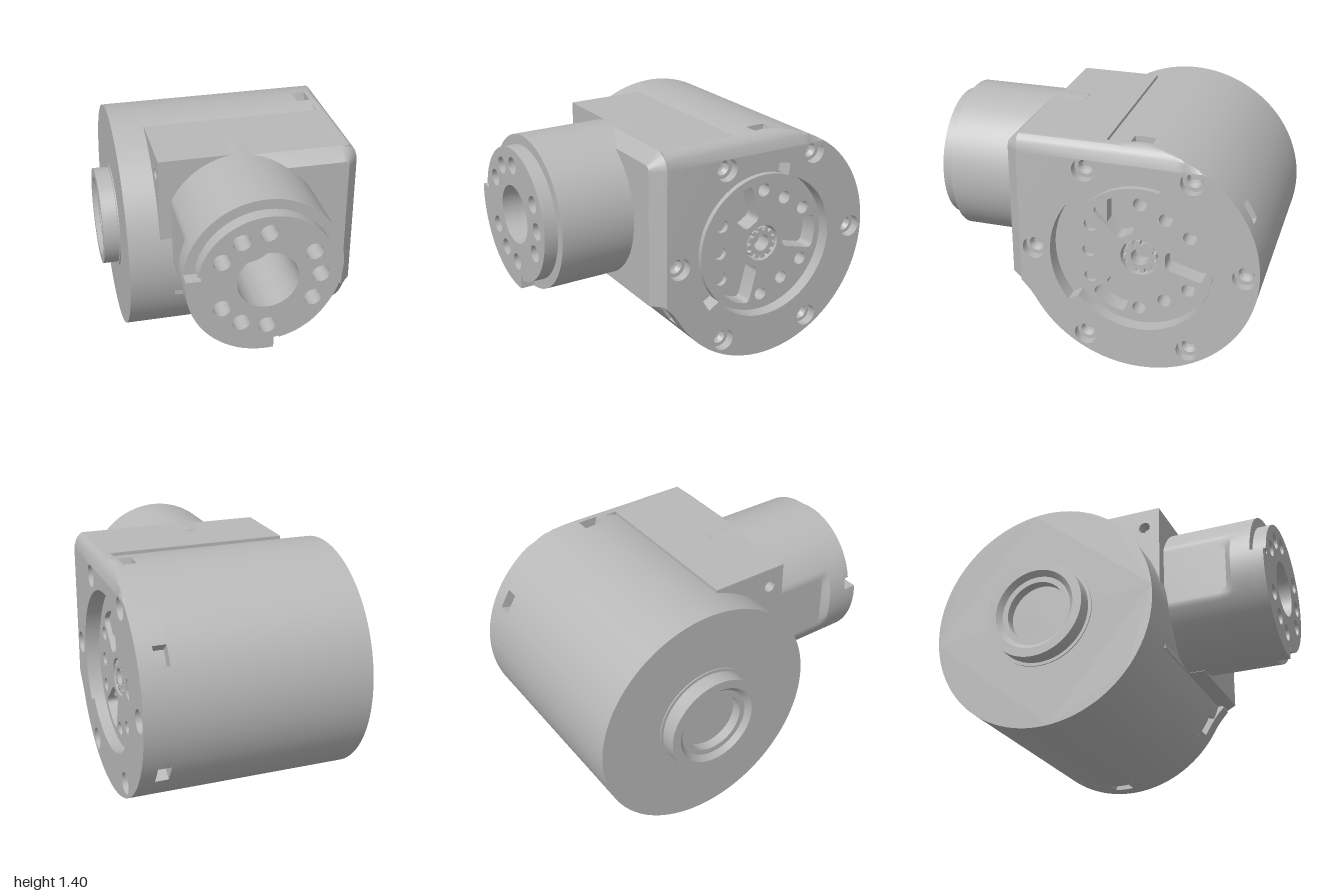
import * as THREE from 'three';
import { toCreasedNormals } from 'three/addons/utils/BufferGeometryUtils.js';

const RAD = Math.PI / 180;
const CU = 0.3, CY = 0.7, R = 0.7;   // main axis (u = -z) and radius
const TX = 0.04, TY = 0.94;          // output tube axis

const V = (x, y) => new THREE.Vector2(x, y);

// Closed outline from a radius given per degree
function polar(cx, cy, rOf, n = 360) {
  const pts = [];
  for (let i = 0; i < n; i++) {
    const d = (i * 360) / n, r = rOf(d);
    pts.push(V(cx + r * Math.cos(d * RAD), cy + r * Math.sin(d * RAD)));
  }
  return pts;
}
const circle = (cx, cy, r, n = 32) => polar(cx, cy, () => r, n);
const onRing = (cx, cy, r, deg, hole) => circle(cx + r * Math.cos(deg * RAD), cy + r * Math.sin(deg * RAD), hole, 24);

// Extrude an outline from a to b, with an optional vertex rule
function extrude(pts, holes, a, b, steps = 1, rule = null) {
  const shape = new THREE.Shape(pts);
  shape.holes = holes.map(h => new THREE.Path(h));
  const g = new THREE.ExtrudeGeometry(shape, { depth: b - a, steps, bevelEnabled: false });
  g.translate(0, 0, a);
  if (rule) {
    const p = g.attributes.position, v = new THREE.Vector3();
    for (let i = 0; i < p.count; i++) {
      rule(v.fromBufferAttribute(p, i));
      p.setXYZ(i, v.x, v.y, v.z);
    }
    g.computeVertexNormals();
  }
  return toCreasedNormals(g, 0.5);
}
// Same, but running along x, with the outline drawn in (-z, y)
const extrudeX = (...args) => extrude(...args).rotateY(Math.PI / 2);

const lathe = (pts, n = 64) =>
  toCreasedNormals(new THREE.LatheGeometry(pts.map(([r, h]) => V(r, h)), n), 0.5);

export function createModel() {
  const group = new THREE.Group();
  const grey = new THREE.MeshStandardMaterial({ color: 0xb8b8b8, side: THREE.DoubleSide });
  grey.name = 'grey metal';
  const add = (name, geo) => {
    const m = new THREE.Mesh(geo, grey);
    m.name = name;
    group.add(m);
    return m;
  };

  // Main drum
  add('mainDrum', extrudeX(circle(CU, CY, R, 128), [], -0.63, 0.55));

  // Band with slots around the rim
  const band = polar(CU, CY, d => {
    const off = Math.abs(((d + 360 - 30) % 60 + 30) % 60 - 30);
    return off < 4.6 && Math.abs(d - 150) > 10 ? 0.63 : R;
  });
  add('slottedBand', extrudeX(band, [circle(CU, CY, 0.432, 72)], 0.55, 0.63));

  // Flange: drum circle joined to the square block by a fillet
  const flange = [V(-0.4, 1.39), V(-0.4, 0.47), V(-0.375, 0.445), V(-0.35, 0.415), V(-0.325, 0.38)];
  const end = 540 - Math.asin(0.69 / R) / RAD;
  for (let i = 0; i <= 110; i++) {
    const a = (211 + ((end - 211) * i) / 110) * RAD;
    flange.push(V(CU + R * Math.cos(a), CY + R * Math.sin(a)));
  }
  const recess = polar(CU, CY, d => (d >= 75 && d <= 217 ? 0.515 : 0.44));
  const screws = [0, 60, 120, 180, 240, 300];
  // Rounded top edge towards the flange face
  const roundTop = v => {
    const dx = Math.max(v.z - 0.625, 0);
    v.y = Math.min(v.y, 1.295 + Math.sqrt(Math.max(0.0121 - dx * dx * 1.21, 0)));
  };
  add('flange', extrudeX(flange, [recess, ...screws.map(d => onRing(CU, CY, 0.615, d, 0.068))], 0.63, 0.725, 8, roundTop));

  // Countersunk screw seats
  for (const d of screws) {
    const g = lathe([[0.015, 0.635], [0.03, 0.64], [0.045, 0.67], [0.068, 0.67]], 24).rotateZ(-Math.PI / 2);
    g.translate(0, CY + 0.615 * Math.sin(d * RAD), -CU - 0.615 * Math.cos(d * RAD));
    add('screwSeat', g);
  }

  // Rotor disc with three windows and a ring of bolt holes
  const windowAt = deg => {
    const s = new THREE.Shape();
    s.moveTo(0.15, -0.025);
    s.quadraticCurveTo(0.15, -0.05, 0.18, -0.06);
    s.lineTo(0.34, -0.105);
    s.quadraticCurveTo(0.375, -0.11, 0.38, -0.075);
    s.quadraticCurveTo(0.4, 0, 0.38, 0.075);
    s.quadraticCurveTo(0.375, 0.11, 0.34, 0.105);
    s.lineTo(0.18, 0.06);
    s.quadraticCurveTo(0.15, 0.05, 0.15, 0.025);
    return s.getPoints(6).map(p => p.rotateAround(V(0, 0), deg * RAD).add(V(CU, CY)));
  };
  const windows = [0, 120, 240].map(windowAt);
  const bolts = [30, 90, 150, 210, 270, 330].map(d => onRing(CU, CY, 0.335, d, 0.04))
    .concat([60, 180, 300].map(d => onRing(CU, CY, 0.3, d, 0.04)));
  add('rotorDisc', extrudeX(circle(CU, CY, 0.43, 96), [circle(CU, CY, 0.112, 48), ...windows, ...bolts], 0.55, 0.66));

  // Toothed hub in the rotor
  const hub = polar(CU, CY, d => (d % 30 < 18 ? 0.1 : 0.078));
  add('rotorHub', extrudeX(hub, [circle(CU, CY, 0.052)], 0.56, 0.655));

  // Rear boss with a stepped bore
  const boss = lathe([[0.325, 0.62], [0.325, 0.637], [0.305, 0.637], [0.305, 0.73], [0.25, 0.73],
    [0.22, 0.7], [0.185, 0.7], [0.185, 0.64], [0, 0.64]]).rotateZ(Math.PI / 2);
  add('rearBoss', boss.translate(0, CY, -CU));

  // Square block between drum and tube, with a small side hole
  const side = [V(-0.375, 0.6), V(0.1, 0.6), V(0.1, 1.39), V(-0.375, 1.39)];
  add('blockSide', extrudeX(side, [circle(-0.28, 1.27, 0.035, 24)], -0.44, -0.36));
  const core = [V(-0.375, 0.485), V(0.1, 0.485), V(0.1, 1.39), V(-0.375, 1.39)];
  add('blockCore', extrudeX(core, [], -0.36, TX));
  const coreRight = [V(-0.4, 0.485), V(0.1, 0.485), V(0.1, 1.39), V(-0.4, 1.39)];
  add('blockRight', extrudeX(coreRight, [], TX, 0.63));

  // Chamfered front of the block
  const front = [V(TX, 1.39), V(TX, 0.485), V(0.725, 0.485)];
  for (let i = 0; i <= 10; i++) {
    const a = i * 9 * RAD;
    front.push(V(0.625 + 0.1 * Math.cos(a), 1.29 + 0.1 * Math.sin(a)));
  }
  add('blockFront', extrude(front, [], 0.4, 0.475, 1, v => {
    if (v.z > 0.45) {
      v.x -= 0.7 * Math.max(v.x - 0.625, 0);
      v.y -= 0.7 * Math.max(v.y - 1.29, 0);
    }
  }));

  // Output tube, flattened on its left side up to the lip
  const holes = [circle(TX, TY, 0.172, 64),
    ...[0, 30, 90, 120, 150, 210, 240, 270, 330].map(d => onRing(TX, TY, 0.295, d, 0.05))];
  add('outputTube', extrude(circle(TX, TY, 0.453, 128), holes, 0.2, 0.92, 18, v => {
    v.x = Math.max(v.x, -0.37 - Math.max(0, v.z - 0.77) * 1.5);
  }));

  // Stepped end face with a raised quarter lip and two notches
  const lip = polar(TX, TY, d => {
    if ((d >= 170 && d <= 173) || (d >= 276 && d <= 279)) return 0.37;
    return d > 173 && d < 276 ? 0.453 : 0.395;
  });
  add('outputFace', extrude(lip, holes, 0.92, 1));

  // Floors of the bores
  add('boltHoleFloor', extrude(circle(TX, TY, 0.38, 64), [circle(TX, TY, 0.18, 64)], 0.84, 0.86));
  add('centreBoreFloor', extrude(circle(TX, TY, 0.18, 64), [], 0.5, 0.55));

  return group;
}
